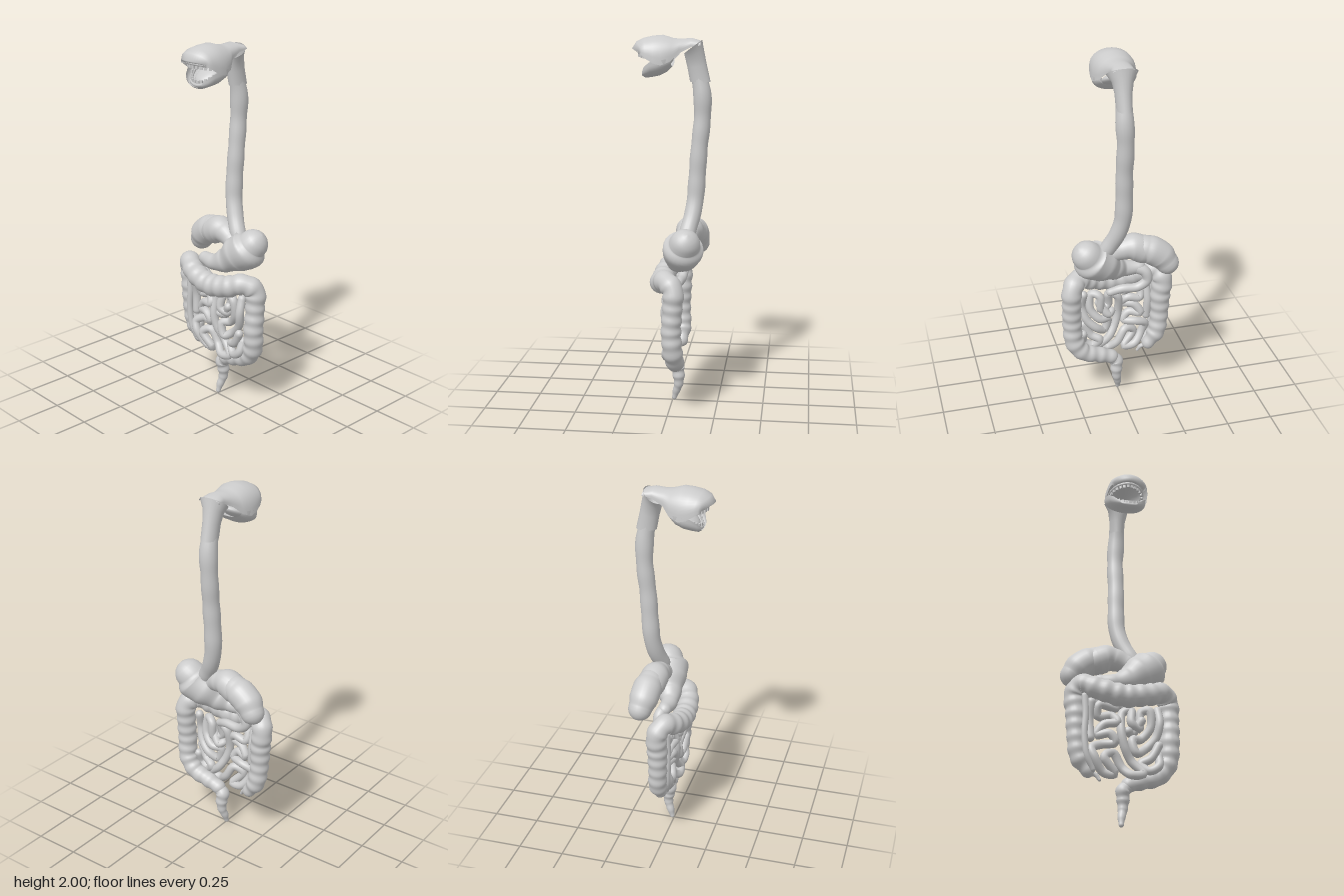
import * as THREE from 'three';

const grey = new THREE.MeshStandardMaterial({ color: 0xcccccc });
const sheet = new THREE.MeshStandardMaterial({ color: 0xcccccc, side: THREE.DoubleSide });

// Skin a list of point rings into one smooth surface
function loft(rings, closed) {
  const n = rings[0].length, idx = [];
  for (let i = 0; i < rings.length - 1; i++) {
    for (let j = 0; j < (closed ? n : n - 1); j++) {
      const k = (j + 1) % n;
      const a = i * n + j, b = i * n + k, c = a + n, d = b + n;
      idx.push(a, b, c, b, d, c);
    }
  }
  const g = new THREE.BufferGeometry().setFromPoints(rings.flat());
  g.setIndex(idx);
  g.computeVertexNormals();
  return g;
}

// Round-ended organ along points [x, y, z, radius]; bulges adds soft pouches
function organ(pts, { steps = 60, sides = 18, bulges = 0, depth = 0.06 } = {}) {
  const curve = new THREE.CatmullRomCurve3(pts.map(p => new THREE.Vector3(p[0], p[1], p[2])));
  curve.arcLengthDivisions = 600;
  const frames = curve.computeFrenetFrames(steps);
  const radius = u => {
    const f = curve.getUtoTmapping(u) * (pts.length - 1);
    const i = Math.min(Math.floor(f), pts.length - 2);
    const r = THREE.MathUtils.lerp(pts[i][3], pts[i + 1][3], THREE.MathUtils.smoothstep(f - i, 0, 1));
    return r * (1 + depth * (bulges ? Math.cos(u * bulges * Math.PI * 2) : 0));
  };
  const ring = (i, scale, push) => {
    const r = radius(i / steps), c = curve.getPointAt(i / steps).addScaledVector(frames.tangents[i], push * r);
    return Array.from({ length: sides }, (_, j) => {
      const a = j / sides * Math.PI * 2;
      return c.clone()
        .addScaledVector(frames.normals[i], Math.cos(a) * r * scale)
        .addScaledVector(frames.binormals[i], Math.sin(a) * r * scale);
    });
  };
  const rings = [], cap = [0.001, 0.3, 0.58, 0.81, 0.95];
  for (const s of cap) rings.push(ring(0, s, -Math.sqrt(1 - s * s)));
  for (let i = 0; i <= steps; i++) rings.push(ring(i, 1, 0));
  for (const s of cap.reverse()) rings.push(ring(steps, s, Math.sqrt(1 - s * s)));
  return loft(rings, true);
}

// Arched sheet from rows [z, half width, crown y, edge y, sweep back at the sides]
function arch(rows) {
  return loft(rows.map(([z, w, crown, edge, back = 0]) => Array.from({ length: 25 }, (_, j) => {
    const a = j / 24 * Math.PI, c = Math.cos(a);
    return new THREE.Vector3(w * c, edge + (crown - edge) * Math.pow(Math.sin(a), 0.7), z - back * c * c);
  })), false);
}

export function createModel() {
  const model = new THREE.Group();
  const add = (name, geo, mat = grey, parent = model) => {
    const m = new THREE.Mesh(geo, mat);
    m.name = name;
    parent.add(m);
    return m;
  };

  // Mouth: palate, jaw, gums, teeth and tongue
  const mouth = new THREE.Group();
  mouth.name = 'mouth';
  model.add(mouth);
  add('palate', arch([
    [-0.15, 0.06, 1.97, 1.95], [-0.1, 0.058, 1.985, 1.94], [-0.04, 0.07, 1.98, 1.91],
    [0, 0.1, 1.985, 1.87], [0.05, 0.115, 2, 1.85], [0.1, 0.116, 1.996, 1.86, 0.01],
    [0.15, 0.112, 1.985, 1.885, 0.02], [0.19, 0.104, 1.965, 1.9, 0.04], [0.212, 0.095, 1.93, 1.9, 0.05],
    [0.195, 0.085, 1.918, 1.895, 0.05],
  ]), sheet, mouth);
  add('lowerJaw', arch([
    [0, 0.09, 1.84, 1.88], [0.03, 0.112, 1.81, 1.88], [0.07, 0.115, 1.79, 1.875],
    [0.11, 0.105, 1.782, 1.865], [0.14, 0.085, 1.778, 1.84], [0.155, 0.05, 1.788, 1.81],
  ]), sheet, mouth);
  const gum = (a, upper) => upper
    ? new THREE.Vector3(0.092 * Math.cos(a), 1.89 + 0.022 * Math.sin(a), 0.06 + 0.115 * Math.sin(a))
    : new THREE.Vector3(0.097 * Math.cos(a), 1.872 - 0.075 * Math.sin(a), 0.05 + 0.095 * Math.sin(a));
  for (const upper of [true, false]) {
    const name = upper ? 'upper' : 'lower';
    const path = Array.from({ length: 13 }, (_, i) => gum(i / 12 * Math.PI, upper));
    add(name + 'Gum', organ(path.map(p => [p.x, p.y, p.z, 0.01]), { steps: 36, sides: 8 }), grey, mouth);
    for (let i = 0; i < 14; i++) {
      const a = (i + 0.5) / 14 * Math.PI;
      const tooth = add(name + 'Tooth', new THREE.BoxGeometry(0.014, 0.024, 0.01), grey, mouth);
      tooth.position.copy(gum(a, upper));
      tooth.position.y += upper ? -0.012 : 0.012;
      tooth.rotation.y = Math.PI / 2 - a;
    }
  }
  const tongue = add('tongue', new THREE.SphereGeometry(1, 24, 16), grey, mouth);
  tongue.scale.set(0.062, 0.026, 0.08);
  tongue.position.set(0, 1.845, 0.065);
  tongue.rotation.x = 0.5;

  // Throat: flared collar rising to the back, rows [y, z, rx, rz, tilt]
  add('throatCollar', loft([
    [1.76, -0.145, 0.041, 0.054, 0], [1.84, -0.128, 0.044, 0.05, 0.01],
    [1.9, -0.115, 0.056, 0.048, 0.025], [1.94, -0.107, 0.082, 0.047, 0.035],
  ].map(([y, z, rx, rz, tilt]) => Array.from({ length: 24 }, (_, j) => {
    const a = -j / 24 * Math.PI * 2;
    return new THREE.Vector3(rx * Math.cos(a), y - tilt * Math.sin(a), z + rz * Math.sin(a));
  })), true), sheet);

  add('esophagus', organ([
    [0, 1.8, -0.135, 0.04], [0, 1.7, -0.155, 0.048], [-0.005, 1.58, -0.157, 0.045],
    [-0.003, 1.4, -0.14, 0.045], [-0.005, 1.25, -0.13, 0.046], [0, 1.14, -0.122, 0.046],
    [0.025, 1.05, -0.108, 0.044], [0.06, 0.98, -0.09, 0.045], [0.09, 0.93, -0.08, 0.04],
  ], { bulges: 6, depth: 0.025 }));

  // Upper abdomen
  add('stomach', organ([
    [0.185, 0.93, -0.085, 0.082], [0.16, 0.9, -0.075, 0.108], [0.1, 0.86, -0.06, 0.1],
    [0.03, 0.81, -0.035, 0.068], [-0.04, 0.785, -0.015, 0.045], [-0.12, 0.785, -0.02, 0.036],
  ], { sides: 28 }));
  add('liverLobe', organ([
    [-0.25, 0.845, -0.115, 0.064], [-0.215, 0.89, -0.105, 0.077],
    [-0.165, 0.925, -0.1, 0.078], [-0.125, 0.942, -0.095, 0.07],
  ], { sides: 28, steps: 30 }));
  add('liverNeck', organ([
    [-0.12, 0.93, -0.09, 0.075], [-0.07, 0.95, -0.085, 0.075], [-0.02, 0.945, -0.08, 0.062], [0.04, 0.92, -0.07, 0.05],
  ], { sides: 28, steps: 30 }));
  add('duodenum', organ([
    [-0.1, 0.785, -0.02, 0.034], [-0.15, 0.76, -0.04, 0.03], [-0.16, 0.71, -0.045, 0.027],
    [-0.11, 0.67, -0.04, 0.025], [-0.02, 0.665, -0.03, 0.024], [0.04, 0.64, -0.01, 0.022],
  ]));

  // Large intestine, from the blind pouch round to the rectum
  add('largeIntestine', organ([
    [-0.175, 0.29, -0.03, 0.035], [-0.22, 0.36, -0.03, 0.05], [-0.238, 0.47, -0.025, 0.05],
    [-0.243, 0.6, -0.025, 0.055], [-0.252, 0.7, -0.025, 0.055], [-0.22, 0.745, 0.005, 0.055],
    [-0.13, 0.712, 0.045, 0.058], [0, 0.685, 0.055, 0.06], [0.13, 0.708, 0.045, 0.058],
    [0.215, 0.735, 0.01, 0.056], [0.256, 0.7, -0.03, 0.056], [0.262, 0.6, -0.03, 0.052],
    [0.26, 0.48, -0.022, 0.053], [0.25, 0.36, -0.03, 0.052], [0.2, 0.29, -0.035, 0.048],
    [0.11, 0.255, -0.03, 0.044], [0.04, 0.23, -0.028, 0.038],
  ], { steps: 240, sides: 22, bulges: 26, depth: 0.05 }));
  add('colonBand', organ([
    [-0.205, 0.68, 0.02, 0.018], [-0.2, 0.58, 0.02, 0.018], [-0.205, 0.47, 0.02, 0.017],
    [-0.19, 0.36, 0.015, 0.017], [-0.155, 0.29, 0, 0.015],
  ], { sides: 10 }));
  add('appendix', organ([
    [-0.17, 0.28, -0.03, 0.016], [-0.135, 0.27, -0.025, 0.012], [-0.115, 0.243, -0.02, 0.009],
  ], { steps: 20, sides: 10 }));
  add('rectum', organ([
    [0.04, 0.225, -0.028, 0.034], [0.012, 0.2, -0.028, 0.038], [0.012, 0.15, -0.035, 0.033],
    [0.01, 0.1, -0.035, 0.025], [0, 0.05, -0.02, 0.02], [-0.003, 0.014, -0.01, 0.013],
  ], { bulges: 5, depth: 0.05 }));

  // Small intestine: flat winding coils, points [x, y]
  const coils = [
    [[-0.04, 0.63], [-0.13, 0.635], [-0.13, 0.58], [-0.06, 0.59], [-0.03, 0.55], [-0.1, 0.535],
      [-0.135, 0.48], [-0.07, 0.485], [-0.04, 0.44], [-0.11, 0.43], [-0.165, 0.4], [-0.15, 0.35],
      [-0.1, 0.28], [-0.04, 0.275], [-0.1, 0.355], [-0.05, 0.385], [0, 0.31], [0.05, 0.27],
      [0.11, 0.285], [0.05, 0.35], [0.01, 0.42], [-0.01, 0.5], [0, 0.61], [0.045, 0.63],
      [0.045, 0.55], [0.09, 0.53], [0.1, 0.62], [0.14, 0.63], [0.15, 0.54], [0.1, 0.475],
      [0.05, 0.46], [0.07, 0.39], [0.12, 0.42], [0.175, 0.48], [0.195, 0.56], [0.19, 0.64]],
    [[0.19, 0.44], [0.15, 0.37], [0.1, 0.34], [0.14, 0.3], [0.19, 0.33], [0.195, 0.39]],
    [[-0.17, 0.65], [-0.175, 0.56], [-0.17, 0.46]],
    [[0.03, 0.51], [0.05, 0.5], [0.1, 0.57]],
  ];
  coils.forEach((path, k) => add('smallIntestine', organ(
    path.map(([x, y], i) => [x, y, 0.005 + 0.014 * Math.sin(i * 1.9 + k), 0.023]),
    { steps: path.length * 9, sides: 12 })));

  return model;
}
